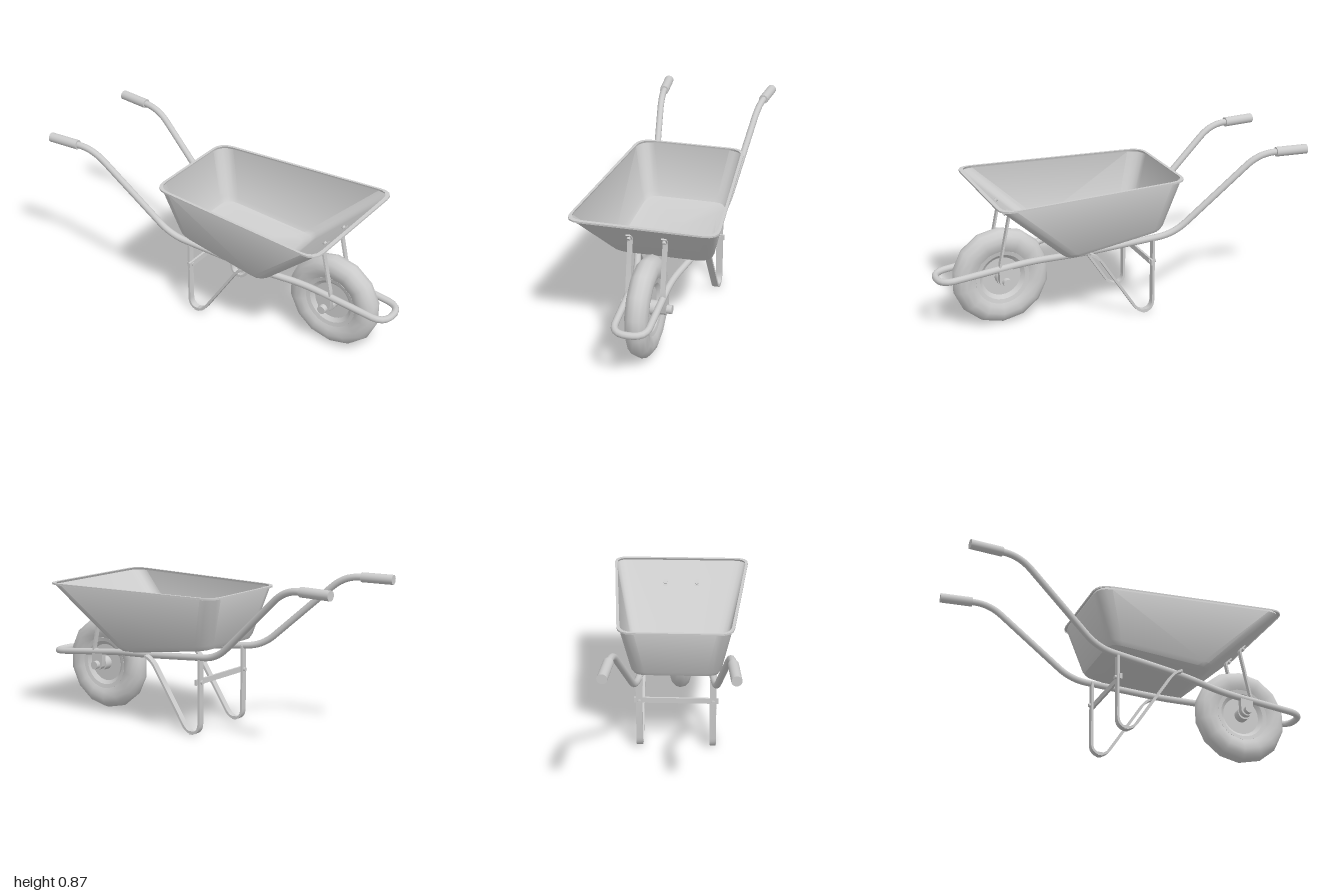
import * as THREE from 'three';
import { toCreasedNormals } from 'three/addons/utils/BufferGeometryUtils.js';

const metal = new THREE.MeshStandardMaterial({ color: 0xcccccc });
const sheet = new THREE.MeshStandardMaterial({ color: 0xcccccc, side: THREE.DoubleSide });

function add(parent, name, geometry, material = metal) {
  const mesh = new THREE.Mesh(geometry, material);
  mesh.name = name;
  parent.add(mesh);
  return mesh;
}

// Straight runs joined by curved bends; cuts[i] is the bend size at inner point i
function bentPath(points, cuts) {
  const path = new THREE.CurvePath();
  const p = points.map(a => new THREE.Vector3(...a));
  let from = p[0];
  for (let i = 1; i < p.length - 1; i++) {
    const toward = q => p[i].clone().add(q.clone().sub(p[i]).setLength(cuts[i - 1]));
    const a = toward(p[i - 1]), b = toward(p[i + 1]);
    path.add(new THREE.LineCurve3(from, a));
    path.add(new THREE.QuadraticBezierCurve3(a, p[i], b));
    from = b;
  }
  path.add(new THREE.LineCurve3(from, p[p.length - 1]));
  return path;
}

// Flat bar bent in the xy plane, centred on z = 0
function strap(points, cuts, thickness, width) {
  const pts = bentPath(points.map(([x, y]) => [x, y, 0]), cuts).getPoints(6);
  const side = s => pts.map((p, i) => {
    const a = pts[Math.max(i - 1, 0)], b = pts[Math.min(i + 1, pts.length - 1)];
    const t = b.clone().sub(a).normalize();
    return new THREE.Vector2(p.x - t.y * s * thickness / 2, p.y + t.x * s * thickness / 2);
  });
  const shape = new THREE.Shape([...side(-1), ...side(1).reverse()]);
  const g = new THREE.ExtrudeGeometry(shape, { depth: width, bevelEnabled: false });
  g.translate(0, 0, -width / 2);
  return toCreasedNormals(g, 0.6);
}

// Cylinder between two points
function rod(a, b, radius, sides) {
  const p = new THREE.Vector3(...a), d = new THREE.Vector3(...b).sub(p);
  const g = new THREE.CylinderGeometry(radius, radius, d.length(), sides);
  g.applyQuaternion(new THREE.Quaternion().setFromUnitVectors(new THREE.Vector3(0, 1, 0), d.clone().normalize()));
  return g.translate(p.x + d.x / 2, p.y + d.y / 2, p.z + d.z / 2);
}

// Trapezoid ring with rounded corners: back/front x, half widths, heights, corner cut
function trayRing([xb, xf, wb, wf, yb, yf, cut]) {
  const c = [[xb, -wb], [xf, -wf], [xf, wf], [xb, wb]].map(a => new THREE.Vector2(...a));
  const ring = [];
  c.forEach((p, i) => {
    const toward = q => p.clone().add(q.clone().sub(p).setLength(cut));
    const bend = new THREE.QuadraticBezierCurve(toward(c[(i + 3) % 4]), p, toward(c[(i + 1) % 4]));
    for (const q of bend.getPoints(4)) {
      ring.push([q.x, yb + (yf - yb) * (q.x - xb) / (xf - xb), q.y]);
    }
  });
  return ring;
}

function trayGeometry() {
  const rings = [
    [-0.307, 0.742, 0.298, 0.387, 0.748, 0.748, 0.08],
    [-0.307, 0.742, 0.298, 0.387, 0.757, 0.757, 0.08],
    [-0.292, 0.722, 0.283, 0.372, 0.757, 0.757, 0.075],
    [-0.295, 0.728, 0.287, 0.376, 0.745, 0.745, 0.075],
    [-0.218, 0.375, 0.235, 0.275, 0.492, 0.422, 0.07],
    [-0.205, 0.35, 0.222, 0.258, 0.468, 0.402, 0.07],
    [-0.17, 0.31, 0.185, 0.215, 0.455, 0.393, 0.06],
  ].map(trayRing);
  const n = rings[0].length, pos = rings.flat(2), index = [];
  for (let r = 0; r < rings.length - 1; r++) {
    for (let i = 0; i < n; i++) {
      const a = r * n + i, b = r * n + (i + 1) % n;
      index.push(a, a + n, b, b, a + n, b + n);
    }
  }
  // floor fan
  pos.push(0.07, 0.424, 0);
  const last = (rings.length - 1) * n;
  for (let i = 0; i < n; i++) index.push(last + i, rings.length * n, last + (i + 1) % n);
  const g = new THREE.BufferGeometry();
  g.setAttribute('position', new THREE.Float32BufferAttribute(pos, 3));
  g.setIndex(index);
  return toCreasedNormals(g, 0.6);
}

// Turned part around the wheel axis (z)
function turned(profile, sides, crease) {
  const g = new THREE.LatheGeometry(profile.map(a => new THREE.Vector2(...a)), sides);
  return toCreasedNormals(g.rotateX(Math.PI / 2), crease);
}

export function createModel() {
  const model = new THREE.Group();
  model.name = 'wheelbarrow';

  add(model, 'tray', trayGeometry(), sheet);

  // One bent tube forms both handles and the loop ahead of the wheel
  const half = [[-0.99, 0.845, 0.309], [-0.73, 0.845, 0.285], [-0.27, 0.434, 0.212],
    [0.22, 0.383, 0.16], [0.5, 0.353, 0.092], [0.98, 0.3, 0.085]];
  const cuts = [0.09, 0.09, 0.1, 0.09, 0.08];
  const mirrored = half.map(([x, y, z]) => [x, y, -z]).reverse();
  const rail = bentPath([...half, ...mirrored], [...cuts, ...[...cuts].reverse()]);
  add(model, 'frameTube', new THREE.TubeGeometry(rail, 180, 0.018, 10, false));

  // Wheel
  const wheel = new THREE.Group();
  wheel.name = 'wheel';
  wheel.position.set(0.635, 0.265, 0);
  model.add(wheel);
  const tyre = [[0.145, 0.042], [0.17, 0.055], [0.205, 0.06], [0.235, 0.05], [0.257, 0.028]];
  add(wheel, 'tyre', turned([
    ...tyre.map(([r, z]) => [r, -z]), [0.265, 0], ...[...tyre].reverse()], 14, 1.1));
  const rim = [[0.03, 0.022], [0.105, 0.022], [0.125, 0.04], [0.147, 0.045]];
  add(wheel, 'wheelRim', turned([
    ...rim.map(([r, z]) => [r, -z]), ...[...rim].reverse()], 28, 0.5));
  add(wheel, 'hub', rod([0, 0, -0.07], [0, 0, 0.07], 0.038, 20));
  add(wheel, 'axle', rod([0, 0, -0.132], [0, 0, 0.132], 0.023, 16));

  // Axle bracket outline, rounded at the bottom
  const plate = new THREE.Shape();
  plate.moveTo(0.036, 0.075);
  plate.lineTo(-0.036, 0.085);
  plate.lineTo(-0.036, 0.006);
  plate.absarc(0, 0.006, 0.036, Math.PI, Math.PI * 2, false);
  const bracket = toCreasedNormals(new THREE.ExtrudeGeometry(plate,
    { depth: 0.03, bevelEnabled: false, curveSegments: 10 }), 0.6);

  const leg = strap([[-0.155, 0.425], [-0.155, 0.009], [-0.075, 0.009], [0.165, 0.372], [0.205, 0.385]],
    [0.06, 0.045, 0.045, 0.015], 0.013, 0.035);
  const strut = strap([[0.64, 0.66], [0.606, 0.628], [0.664, 0.355], [0.664, 0.3]],
    [0.015, 0.02], 0.01, 0.026);

  for (const s of [1, -1]) {
    const side = s > 0 ? 'front' : 'back';
    add(model, side + 'Grip', rod([-1, 0.845, s * 0.31], [-0.825, 0.845, s * 0.294], 0.026, 16));
    add(model, side + 'Leg', leg).position.z = s * 0.197;
    add(model, side + 'TrayStrut', strut).position.z = s * 0.09;
    add(model, side + 'AxleBracket', bracket).position.set(0.635, 0.265, s * 0.09 - 0.015);
    // Bolts for the tray strut and the cross bar
    add(model, side + 'StrutBolt', rod([0.612, 0.655, s * 0.09], [0.637, 0.633, s * 0.09], 0.01, 8));
    add(model, side + 'LegBolt', rod([-0.172, 0.29, s * 0.197], [-0.132, 0.29, s * 0.197], 0.011, 8));
  }

  // Flat bar tying the legs together
  add(model, 'crossBar', new THREE.BoxGeometry(0.012, 0.03, 0.45)).position.set(-0.144, 0.29, 0);

  return model;
}
